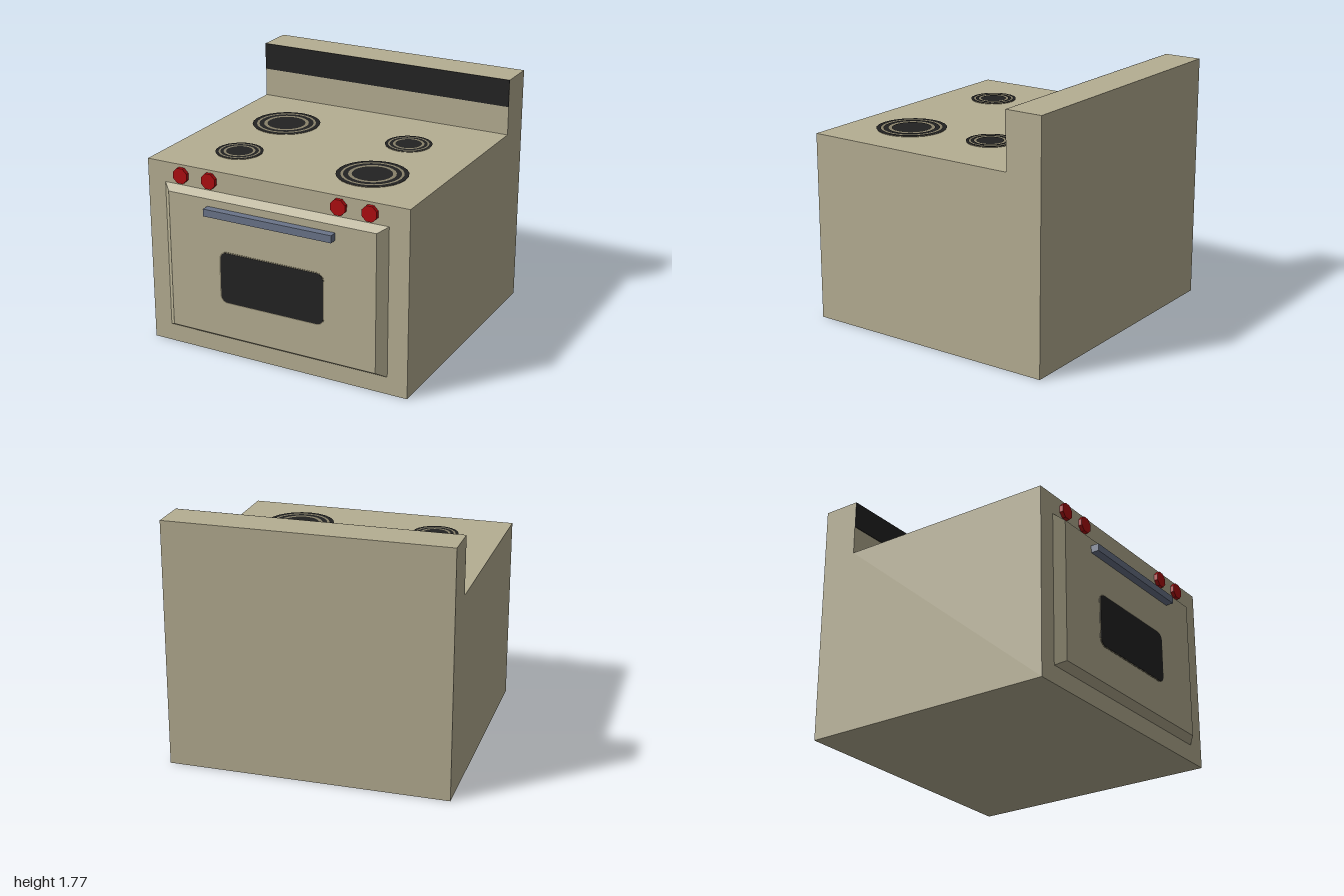
import * as THREE from 'three';

const mat = (name, color) => {
  const m = new THREE.MeshStandardMaterial({ color });
  m.name = name;
  return m;
};

export function createModel() {
  const enamel = mat('cream enamel', 0xb5ae92);
  const pan = mat('dark tan drip pan', 0x878069);
  const black = mat('black', 0x222222);
  const red = mat('red', 0xae0c10);
  const steel = mat('blue grey steel', 0x6a7489);

  const stove = new THREE.Group();
  stove.name = 'stove';
  const add = (name, geometry, material, x = 0, y = 0, z = 0, parent = stove) => {
    const mesh = new THREE.Mesh(geometry, material);
    mesh.name = name;
    mesh.position.set(x, y, z);
    parent.add(mesh);
    return mesh;
  };

  // Body and backsplash: one stepped side profile drawn as (-z, y), extruded across x
  const profile = new THREE.Shape([
    [-0.885, 0], [0.995, 0], [0.995, 1.77], [0.725, 1.77], [0.725, 1.36], [-0.885, 1.36],
  ].map(([x, y]) => new THREE.Vector2(x, y)));
  const body = new THREE.ExtrudeGeometry(profile, { depth: 2, bevelEnabled: false });
  body.translate(0, 0, -1).rotateY(Math.PI / 2);
  add('body', body, enamel);

  // Black panel across the top of the backsplash
  add('backsplashPanel', new THREE.BoxGeometry(2, 0.2, 0.004), black, 0, 1.67, -0.723);

  // Oven door: a box whose front face is drawn in to bevel the edges
  const door = new THREE.BoxGeometry(1.72, 1.09, 0.06);
  const p = door.attributes.position;
  for (let i = 0; i < p.count; i++) {
    if (p.getZ(i) > 0) p.setXY(i, p.getX(i) * 0.925, p.getY(i) * 0.925);
  }
  door.computeVertexNormals();
  add('ovenDoor', door, enamel, -0.005, 0.67, 0.912);

  // Window with rounded corners and its thin frame
  const roundedPlate = (w, h, r, depth) => {
    const s = new THREE.Shape();
    const x = w / 2, y = h / 2, q = Math.PI / 2;
    s.absarc(x - r, y - r, r, 0, q);
    s.absarc(r - x, y - r, r, q, 2 * q);
    s.absarc(r - x, r - y, r, 2 * q, 3 * q);
    s.absarc(x - r, r - y, r, 3 * q, 4 * q);
    return new THREE.ExtrudeGeometry(s, { depth, bevelEnabled: false, curveSegments: 5 });
  };
  add('windowFrame', roundedPlate(0.812, 0.386, 0.06, 0.003), pan, 0, 0.617, 0.941);
  add('window', roundedPlate(0.796, 0.372, 0.05, 0.005), black, 0.002, 0.617, 0.941);

  add('doorHandle', new THREE.BoxGeometry(0.98, 0.053, 0.06), steel, 0, 1.094, 0.969);

  // Octagonal control knobs
  const knob = new THREE.CylinderGeometry(0.059, 0.059, 0.03, 8).toNonIndexed();
  knob.computeVertexNormals();
  knob.rotateY(Math.PI / 8).rotateX(Math.PI / 2);
  for (const x of [-0.725, -0.5, 0.49, 0.72]) add('knob', knob, red, x, 1.285, 0.897);

  // Burners: a shallow pan carrying a black centre and two black rings
  const burners = [
    [-0.52, -0.195, 0.248], [0.505, 0.44, 0.248],
    [0.462, -0.21, 0.168], [-0.513, 0.475, 0.168],
  ];
  for (const [x, z, r] of burners) {
    const burner = new THREE.Group();
    burner.name = 'burner';
    burner.position.set(x, 1.36, z);
    stove.add(burner);
    add('dripPan', new THREE.CylinderGeometry(r * 0.98, r * 0.98, 0.003, 24), pan, 0, 0.0015, 0, burner);
    add('burnerCentre', new THREE.CircleGeometry(r * 0.56, 24).rotateX(-Math.PI / 2), black, 0, 0.006, 0, burner);
    for (const [inner, outer] of [[0.66, 0.8], [0.87, 1]]) {
      const ring = new THREE.RingGeometry(r * inner, r * outer, 24).rotateX(-Math.PI / 2);
      add('heatingRing', ring, black, 0, 0.006, 0, burner);
    }
  }
  return stove;
}
